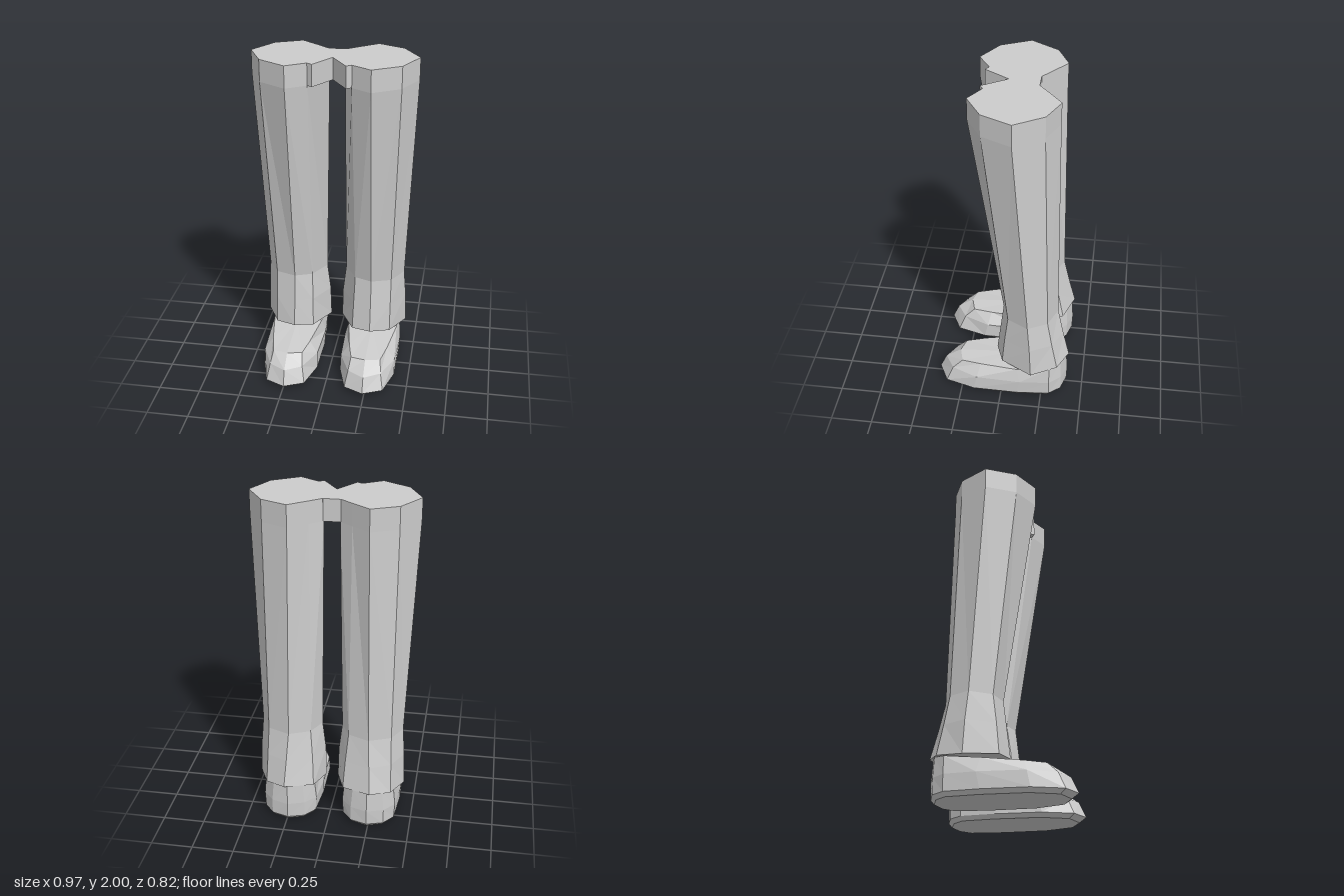
import * as THREE from 'three';

// Skin a stack of rings (bottom to top) of [x, y, z] points and cap both ends
function loft(rings, mirror) {
  const pos = [];
  const tri = (a, b, c) => {
    for (const p of mirror ? [a, c, b] : [a, b, c]) pos.push(mirror ? -p[0] : p[0], p[1], p[2]);
  };
  const n = rings[0].length;
  const centre = (r) => [0, 1, 2].map((k) => r.reduce((s, p) => s + p[k], 0) / n);
  const low = rings[0], high = rings[rings.length - 1];
  const cLow = centre(low), cHigh = centre(high);
  for (let i = 0; i < n; i++) {
    const j = (i + 1) % n;
    for (let k = 0; k + 1 < rings.length; k++) {
      const a = rings[k], b = rings[k + 1];
      tri(a[i], b[i], a[j]);
      tri(a[j], b[i], b[j]);
    }
    tri(cLow, low[i], low[j]);
    tri(cHigh, high[j], high[i]);
  }
  const g = new THREE.BufferGeometry();
  g.setAttribute('position', new THREE.Float32BufferAttribute(pos, 3));
  g.computeVertexNormals();
  return g;
}

// Trouser leg rings: outer, outer front, front, inner front, inner, inner back, back, outer back
const flat = (y, pts) => pts.map(([x, z]) => [x, y, z]);
const thigh = [[0.485, -0.075], [0.4, 0.1], [0.24, 0.195], [0.125, 0.125],
  [0.045, -0.17], [0.12, -0.23], [0.225, -0.31], [0.38, -0.24]];
const legRings = [
  [[0.447, 0.215, -0.19], [0.36, 0.235, -0.005], [0.24, 0.24, 0.04], [0.125, 0.235, 0.005],
    [0.035, 0.22, -0.18], [0.09, 0.24, -0.345], [0.26, 0.25, -0.41], [0.38, 0.235, -0.345]],
  flat(0.41, [[0.442, -0.18], [0.36, -0.02], [0.24, 0.02], [0.13, -0.015],
    [0.04, -0.175], [0.1, -0.31], [0.25, -0.37], [0.375, -0.31]]),
  flat(0.58, [[0.43, -0.165], [0.36, -0.04], [0.24, 0], [0.135, -0.04],
    [0.06, -0.17], [0.115, -0.28], [0.24, -0.333], [0.37, -0.28]]),
  flat(1.87, thigh),
  flat(2, thigh),
];

// Shoe half rings, toe to heel: [half width, y, z]
const mid = 0.243;
const shoeHalves = [
  [[0, 0, 0.37], [0.1, 0, 0.32], [0.15, 0, 0.16], [0.155, 0, -0.1],
    [0.14, 0, -0.29], [0.09, 0, -0.35], [0, 0, -0.38]],
  [[0, 0.03, 0.41], [0.118, 0.025, 0.35], [0.17, 0.025, 0.17], [0.174, 0.025, -0.1],
    [0.157, 0.025, -0.3], [0.1, 0.025, -0.37], [0, 0.025, -0.4]],
  [[0, 0.12, 0.37], [0.1, 0.12, 0.31], [0.168, 0.12, 0.15], [0.178, 0.12, -0.12],
    [0.162, 0.12, -0.3], [0.1, 0.12, -0.37], [0, 0.12, -0.403]],
  [[0, 0.185, 0.275], [0.09, 0.18, 0.25], [0.118, 0.19, 0.13], [0.155, 0.205, -0.1],
    [0.152, 0.225, -0.3], [0.09, 0.24, -0.365], [0, 0.25, -0.393]],
];
const shoeRings = shoeHalves.map((half) => [
  ...half.map(([w, y, z]) => [mid - w, y, z]),
  ...half.slice(1, -1).reverse().map(([w, y, z]) => [mid + w, y, z]),
]);

export function createModel() {
  const group = new THREE.Group();
  const grey = new THREE.MeshStandardMaterial({ color: 0xcccccc, flatShading: true });
  grey.name = 'grey';
  const add = (name, geometry) => {
    const mesh = new THREE.Mesh(geometry, grey);
    mesh.name = name;
    group.add(mesh);
  };

  // Legs and shoes, mirrored
  for (const [side, mirror] of [['left', false], ['right', true]]) {
    add(side + 'TrouserLeg', loft(legRings, mirror));
    add(side + 'Shoe', loft(shoeRings, mirror));
  }

  // Bridge joining the thighs, with a notch at the front
  const half = [[0.095, 0.145], [0.125, 0.125], [0.12, -0.1], [0.05, -0.175]];
  const outline = [[0, 0], ...half, ...half.slice().reverse().map(([x, z]) => [-x, z])];
  const shape = new THREE.Shape(outline.map(([x, z]) => new THREE.Vector2(x, -z)));
  const bridge = new THREE.ExtrudeGeometry(shape, { depth: 0.13, bevelEnabled: false });
  bridge.rotateX(-Math.PI / 2).translate(0, 1.87, 0);
  add('crotchBridge', bridge);

  return group;
}
